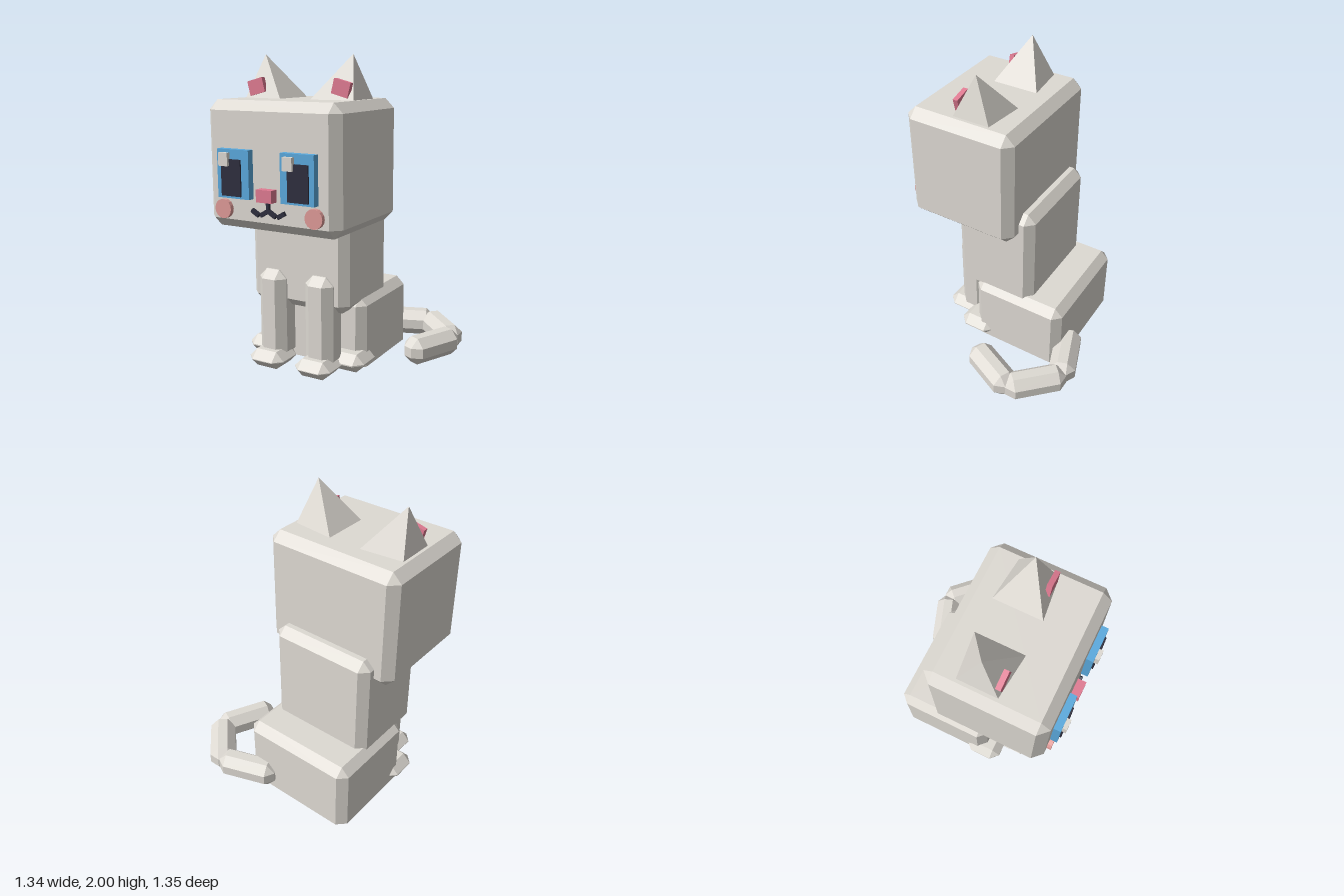
import * as THREE from 'three';
import { ConvexGeometry } from 'three/addons/geometries/ConvexGeometry.js';

const MID = -0.2; // the cat's own centre line
const CHAMFER = 0.055;

const flat = (name, color) => {
  const m = new THREE.MeshStandardMaterial({ color, flatShading: true });
  m.name = name;
  return m;
};

// Box with cut edges and corners; the bottom edges can stay square
function chamferBox(w, h, d, c = CHAMFER, cutBottom = true) {
  const pts = [];
  for (const sx of [-1, 1]) for (const sy of [-1, 1]) for (const sz of [-1, 1]) {
    const x = w / 2, y = h / 2, z = d / 2;
    const cy = sy < 0 && !cutBottom ? 0 : c;
    pts.push(new THREE.Vector3(sx * x, sy * (y - cy), sz * (z - c)));
    pts.push(new THREE.Vector3(sx * (x - c), sy * (y - cy), sz * z));
    if (cy > 0) pts.push(new THREE.Vector3(sx * (x - c), sy * y, sz * (z - c)));
  }
  return new ConvexGeometry(pts);
}

export function createModel() {
  const root = new THREE.Group();
  root.name = 'cat';
  const fur = flat('fur', 0xdedad3);
  const blue = flat('irisBlue', 0x5baade);
  const dark = flat('darkNavy', 0x2e2e3e);
  const pink = flat('pink', 0xe07b92);
  const blush = flat('blush', 0xe09b98);

  const add = (name, geometry, material, x, y, z) => {
    const mesh = new THREE.Mesh(geometry, material);
    mesh.name = name;
    mesh.position.set(x, y, z);
    root.add(mesh);
    return mesh;
  };
  const box = (w, h, d) => new THREE.BoxGeometry(w, h, d);

  // Main blocks
  add('head', chamferBox(0.94, 0.78, 0.76, 0.06), fur, MID, 1.34, 0.22);
  add('torso', chamferBox(0.72, 0.73, 0.57), fur, MID, 0.765, 0.035);
  add('haunches', chamferBox(0.8, 0.467, 0.66, CHAMFER, false), fur, MID, 0.2415, -0.16);

  // Tail: three chamfered links curling round to the cat's left
  const tail = [[0.17, -0.54, 0.345], [0.475, -0.477, -0.79], [0.525, -0.183, 1.14]];
  tail.forEach(([x, z, turn], i) => {
    add('tailLink' + (i + 1), chamferBox(0.41, 0.175, 0.175), fur, x, 0.117, z).rotation.y = turn;
  });

  // Paired parts, mirrored about the centre line
  for (const s of [-1, 1]) {
    const side = s > 0 ? 'left' : 'right';
    const at = (dx) => MID + s * dx;

    add(side + 'FrontLeg', chamferBox(0.205, 0.6, 0.205), fur, at(0.175), 0.34, 0.283);
    add(side + 'FrontPaw', chamferBox(0.26, 0.115, 0.26), fur, at(0.175), 0.0575, 0.345);
    add(side + 'HindPaw', chamferBox(0.26, 0.118, 0.26), fur, at(0.31), 0.067, 0.153);

    // Ear: leaning four-sided spike
    const ear = [[0.11, 0, 0], [0.11, 0, 0.31], [0.39, 0, 0.03], [0.39, 0, 0.28], [0.32, 0.27, 0.155]]
      .map(([x, y, z]) => new THREE.Vector3(s * x, y, z));
    add(side + 'Ear', new ConvexGeometry(ear), fur, MID, 1.73, 0);
    add(side + 'InnerEar', box(0.115, 0.093, 0.032), pink, at(0.307), 1.8, 0.27).rotation.z = -s * 0.25;

    // Eye
    add(side + 'Iris', box(0.23, 0.295, 0.055), blue, at(0.227), 1.297, 0.6175);
    add(side + 'Pupil', box(0.142, 0.222, 0.012), dark, at(0.237), 1.275, 0.649);
    // Both glints sit on the same side, as from one light
    const glintX = s > 0 ? -0.023 : -0.48;
    add(side + 'EyeGlint', box(0.066, 0.08, 0.03), fur, glintX, 1.385, 0.657);

    // Cheek
    const cheek = new THREE.CylinderGeometry(0.06, 0.06, 0.035, 16);
    add(side + 'Cheek', cheek, blush, at(0.324), 1.075, 0.61).rotation.x = Math.PI / 2;

    // Mouth strokes
    add(side + 'MouthInner', box(0.062, 0.026, 0.03), dark, at(0.027), 1.073, 0.605).rotation.z = -s * 0.52;
    add(side + 'MouthOuter', box(0.058, 0.026, 0.03), dark, at(0.092), 1.07, 0.605).rotation.z = s * 0.52;
  }

  // Nose and the line under it
  add('nose', box(0.11, 0.076, 0.07), pink, MID, 1.182, 0.62);
  add('mouthLine', box(0.02, 0.08, 0.03), dark, MID, 1.112, 0.605);

  return root;
}
